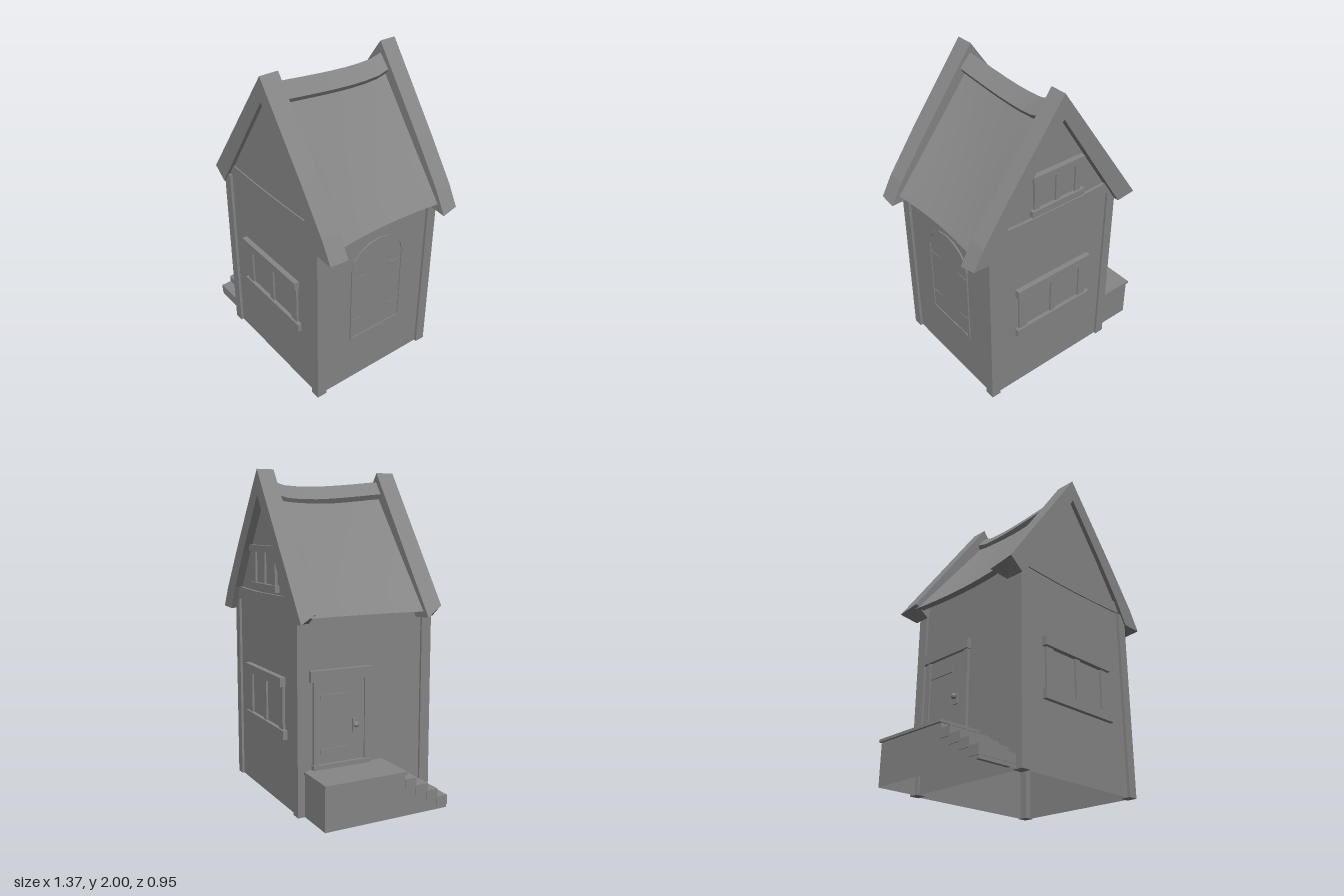
import * as THREE from 'three';
import { toCreasedNormals } from 'three/addons/utils/BufferGeometryUtils.js';

const flat = new THREE.MeshStandardMaterial({ color: 0x868686, flatShading: true, side: THREE.DoubleSide });
const smooth = new THREE.MeshStandardMaterial({ color: 0x868686, side: THREE.DoubleSide });
const CX = 0.06; // ridge line

function add(parent, name, geometry, material = flat) {
  const mesh = new THREE.Mesh(geometry, material);
  mesh.name = name;
  parent.add(mesh);
  return mesh;
}

// Box given by its limits
function box(parent, name, x0, x1, y0, y1, z0, z1) {
  const g = new THREE.BoxGeometry(x1 - x0, y1 - y0, z1 - z0);
  g.translate((x0 + x1) / 2, (y0 + y1) / 2, (z0 + z1) / 2);
  return add(parent, name, g);
}

const toShape = (pts) => new THREE.Shape(pts.map((p) => new THREE.Vector2(p[0], p[1])));

// Hollow shell: an open outline swept from z0 to z1, closed at both ends, no floor
function shell(parent, name, pts, z0, z1) {
  const group = new THREE.Group();
  group.name = name;
  const pos = [];
  for (let i = 0; i < pts.length - 1; i++) {
    const [a, b] = [pts[i], pts[i + 1]];
    pos.push(...a, z0, ...a, z1, ...b, z1, ...a, z0, ...b, z1, ...b, z0);
  }
  const g = new THREE.BufferGeometry();
  g.setAttribute('position', new THREE.Float32BufferAttribute(pos, 3));
  g.computeVertexNormals();
  add(group, name + 'Sides', g);
  for (const z of [z0, z1]) {
    add(group, name + 'End', new THREE.ShapeGeometry(toShape(pts))).position.z = z;
  }
  parent.add(group);
  return group;
}

// Move every vertex by a rule
function warp(g, rule) {
  const p = g.attributes.position;
  const v = new THREE.Vector3();
  for (let i = 0; i < p.count; i++) {
    rule(v.fromBufferAttribute(p, i));
    p.setXYZ(i, v.x, v.y, v.z);
  }
  g.computeVertexNormals();
  return g;
}

// Window with heavy head and sill beams, centred on x = 0, facing +z
function makeWindow(name, half, y0, y1, bar) {
  const w = new THREE.Group();
  w.name = name;
  box(w, 'windowSill', -half, half + 0.01, y0, y0 + bar, -0.02, 0.028);
  box(w, 'windowHead', -half, half - 0.01, y1 - bar, y1, -0.02, 0.035);
  const inner = half - 0.02;
  box(w, 'windowPane', -inner, inner, y0 + bar, y1 - bar, -0.02, 0.004);
  for (const side of [-1, 0, 1]) {
    const t = half * (side === 0 ? 0.07 : 0.1);
    const x = side * (inner - t);
    box(w, 'windowPost', x - t, x + t, y0 + bar, y1 - bar, -0.02, 0.016);
  }
  return w;
}

// Round-headed outline
function archShape(w, y0, spring, rise) {
  const s = new THREE.Shape();
  s.moveTo(-w, y0);
  s.lineTo(w, y0);
  s.lineTo(w, spring);
  s.absellipse(0, spring, w, rise, 0, Math.PI, false);
  s.lineTo(-w, y0);
  return s;
}

export function createModel() {
  const house = new THREE.Group();
  house.name = 'house';

  // Walls with gables, corner posts and gable beams
  shell(house, 'walls', [[-0.405, 0], [-0.405, 1.2], [CX, 1.86], [0.525, 1.2], [0.525, 0]], -0.425, 0.44);
  for (const x of [-0.42, 0.48]) {
    for (const z of [-0.44, 0.392]) box(house, 'cornerPost', x, x + 0.062, 0, 1.19, z, z + 0.066);
  }
  for (const z of [-0.437, 0.425]) {
    const g = new THREE.BoxGeometry(0.86, 0.075, 0.03, 6, 1, 1);
    warp(g, (v) => { v.y += 1.225 + 0.06 * v.x * v.x; v.x += CX; v.z += z + 0.008; });
    add(house, 'gableBeam', g);
  }

  // Roof slopes, sagging towards the middle, cut level at the eaves
  const depth = 0.76;
  for (const s of [-1, 1]) {
    const g = new THREE.BoxGeometry(1, 1, depth, 8, 1, 8);
    warp(g, (v) => {
      const u = 0.5 + s * v.x;
      const k = 1 - (2 * v.z / depth) ** 2;
      const under = v.y < 0 ? 1 : 0;
      v.x = CX + s * u * (0.565 - 0.025 * k - 0.045 * under);
      v.y = 1.88 - 0.715 * u - 0.06 * under * (1 - u)
        - k * (0.02 * Math.sin(Math.PI * u) + 0.015 * (1 - u));
      v.z -= 0.01;
    });
    add(house, 'roofSlope', toCreasedNormals(g, 0.6), smooth);
  }

  // Ridge cap
  const cap = new THREE.ExtrudeGeometry(
    toShape([[-0.06, -0.078], [0, 0], [0.075, -0.08], [0.058, -0.108], [0, -0.06], [-0.045, -0.108]]),
    { depth, steps: 8, bevelEnabled: false });
  warp(cap, (v) => {
    const t = Math.min(1, Math.max(0, v.z / depth));
    v.x += CX;
    v.y += 1.935 + 0.01 * t - 0.035 * Math.sin(Math.PI * t ** 0.6);
    v.z -= 0.39;
  });
  add(house, 'ridgeCap', toCreasedNormals(cap, 0.5), smooth);

  // Gable boards, their tips skewed along the slope
  const board = toShape([
    [-0.533, 1.165], [0.055, 2], [0.42, 1.51], [0.6, 1.255], [0.675, 1.12],
    [0.54, 1.125], [0.46, 1.27], [0.3, 1.51], [0.055, 1.85], [-0.42, 1.125],
  ]);
  for (const [z0, z1, left, right] of [[0.347, 0.467, 0.022, -0.002], [-0.475, -0.367, 0.018, 0.005]]) {
    const g = new THREE.ExtrudeGeometry(board, { depth: z1 - z0, bevelEnabled: false });
    warp(g, (v) => {
      const side = v.z > 0.05 ? 1 : -1;
      if (v.x < -0.5) {
        v.x += side * left;
        v.y += side * left * 1.42;
      } else if (v.x > 0.65) {
        v.x += side * right;
        v.y -= side * right * 1.8;
      }
      v.z += z0;
    });
    add(house, 'gableBoard', g);
  }

  // Windows front and back, small one in the back gable
  const front = makeWindow('frontWindow', 0.29, 0.42, 0.79, 0.055);
  front.position.set(0.055, 0, 0.438);
  const back = makeWindow('backWindow', 0.29, 0.42, 0.79, 0.055);
  back.position.set(0.055, 0, -0.425);
  const attic = makeWindow('atticWindow', 0.19, 1.28, 1.55, 0.04);
  attic.position.set(0.05, 0, -0.425);
  back.rotation.y = attic.rotation.y = Math.PI;
  house.add(front, back, attic);

  // Arched shutters on the left wall
  const arch = new THREE.Group();
  arch.name = 'archedShutters';
  const frame = archShape(0.2, 0.33, 0.87, 0.16);
  frame.holes.push(archShape(0.186, 0.345, 0.865, 0.148));
  add(arch, 'archFrame', new THREE.ExtrudeGeometry(frame, { depth: 0.021, bevelEnabled: false, curveSegments: 4 }));
  add(arch, 'archPanel', new THREE.ExtrudeGeometry(archShape(0.188, 0.343, 0.865, 0.15),
    { depth: 0.015, bevelEnabled: false, curveSegments: 4 }));
  for (const y of [0.48, 0.8]) {
    for (const s of [-1, 1]) {
      const strap = add(arch, 'shutterHinge', new THREE.BoxGeometry(0.09, 0.014, 0.006));
      strap.position.set(s * 0.14, y, 0.015);
    }
  }
  arch.rotation.y = Math.PI / 2;
  arch.position.x = 0.513;
  house.add(arch);

  // Door on the right wall
  const door = new THREE.Group();
  door.name = 'door';
  box(door, 'doorPanel', -0.415, -0.39, 0.27, 0.79, -0.31, 0.005);
  box(door, 'doorLintel', -0.435, -0.39, 0.79, 0.855, -0.36, 0.035);
  box(door, 'doorSill', -0.435, -0.39, 0.265, 0.3, -0.345, 0.03);
  for (const z of [-0.338, -0.005]) box(door, 'doorJamb', -0.425, -0.39, 0.27, 0.79, z, z + 0.032);
  for (const y of [0.36, 0.68]) box(door, 'doorHinge', -0.422, -0.41, y, y + 0.03, -0.295, -0.11);
  box(door, 'handlePlate', -0.424, -0.41, 0.47, 0.55, -0.085, -0.05);
  add(door, 'doorKnob', new THREE.SphereGeometry(0.018, 8, 6)).position.set(-0.435, 0.515, -0.068);
  house.add(door);

  // Porch and steps, hollow underneath
  const steps = [[-0.395, 0], [-0.395, 0.26], [0.12, 0.26]];
  const ends = [0.125, 0.195, 0.275, 0.345, 0.415];
  const tops = [0.26, 0.222, 0.175, 0.13, 0.08];
  for (let i = 1; i < ends.length; i++) steps.push([ends[i - 1], tops[i]], [ends[i], tops[i]]);
  steps.push([0.415, 0.005]);
  const porch = shell(house, 'porch', steps, 0.405, 0.675);
  porch.rotation.y = -Math.PI / 2; // outline runs along z, sweep runs towards -x
  box(house, 'porchFloor', -0.69, -0.405, 0.255, 0.272, -0.4, 0.128);
  for (let i = 1; i < ends.length; i++) {
    // step blocks run a little way through the wall
    box(house, 'stepBlock', -0.68, -0.35, tops[i] - 0.055, tops[i] + 0.002, ends[i - 1] - 0.005, ends[i] + 0.002);
  }

  return house;
}
